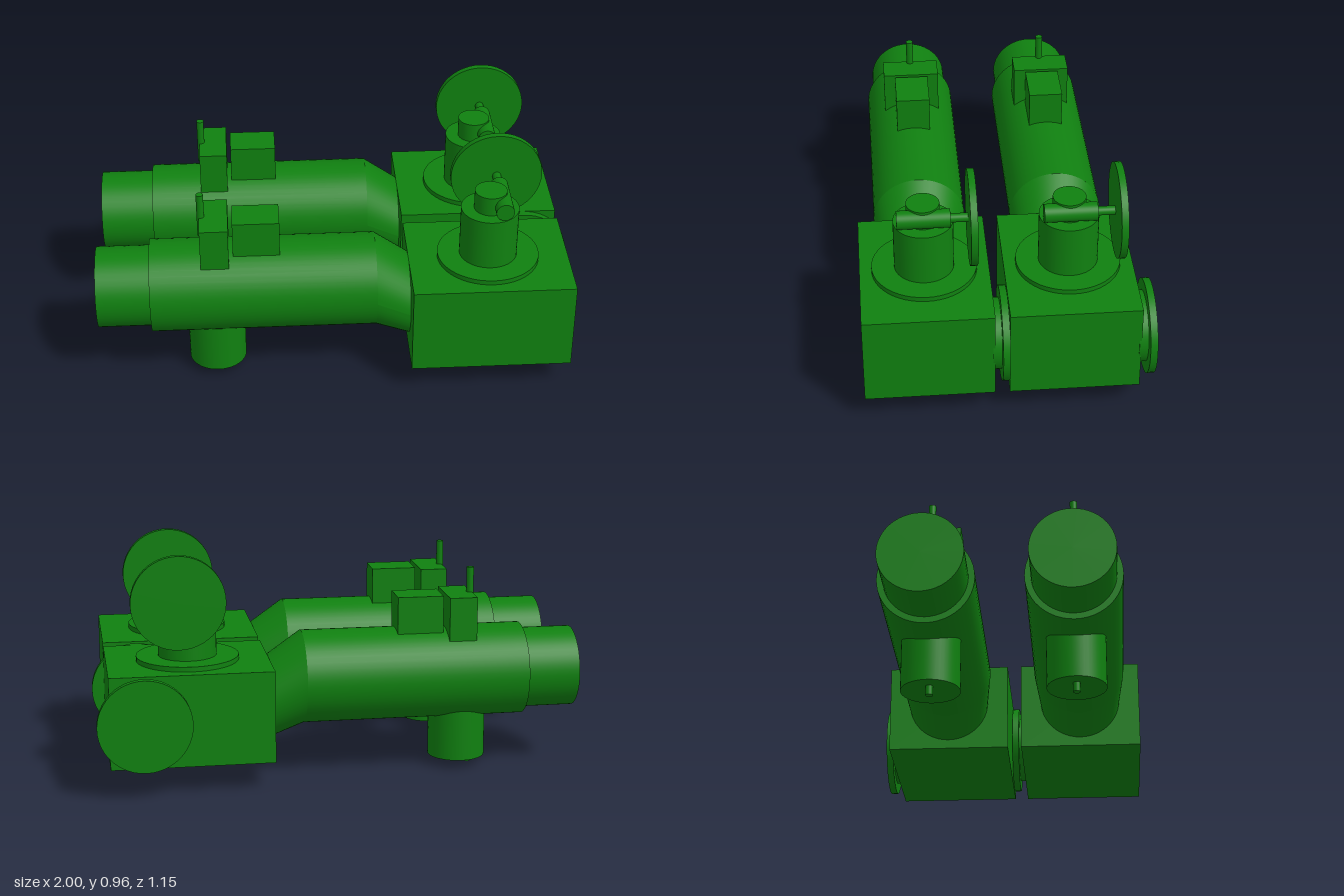
import * as THREE from 'three';

const green = new THREE.MeshStandardMaterial({ color: 0x108010 });

function add(group, name, geometry, x, y, z = 0) {
  const mesh = new THREE.Mesh(geometry, green);
  mesh.name = name;
  mesh.position.set(x, y, z);
  group.add(mesh);
  return mesh;
}

// Cylinders along each axis, given by their start and end on that axis
function cylX(group, name, r, x0, x1, y) {
  const g = new THREE.CylinderGeometry(r, r, x1 - x0, 48).rotateZ(-Math.PI / 2);
  return add(group, name, g, (x0 + x1) / 2, y);
}
function cylY(group, name, r, x, y0, y1) {
  return add(group, name, new THREE.CylinderGeometry(r, r, y1 - y0, 48), x, (y0 + y1) / 2);
}
function cylZ(group, name, r, x, y, z0, z1) {
  const g = new THREE.CylinderGeometry(r, r, z1 - z0, 48).rotateX(Math.PI / 2);
  return add(group, name, g, x, y, (z0 + z1) / 2);
}
function box(group, name, x0, x1, y0, y1, depth) {
  const g = new THREE.BoxGeometry(x1 - x0, y1 - y0, depth);
  return add(group, name, g, (x0 + x1) / 2, (y0 + y1) / 2);
}

// Oblique reducer: a cone frustum along x whose far end sits lower
function reducerGeometry(r0, r1, length, drop) {
  const g = new THREE.CylinderGeometry(r1, r0, length, 48).rotateZ(-Math.PI / 2);
  const p = g.attributes.position;
  for (let i = 0; i < p.count; i++) {
    p.setY(i, p.getY(i) - drop * (p.getX(i) / length + 0.5));
  }
  g.computeVertexNormals();
  return g;
}

function createUnit() {
  const unit = new THREE.Group();

  // Horizontal barrel and gearbox housing
  cylX(unit, 'endPipe', 0.167, -1, -0.78, 0.402);
  cylX(unit, 'mainPipe', 0.192, -0.78, 0.145, 0.402);
  add(unit, 'reducer', reducerGeometry(0.192, 0.171, 0.14, 0.077), 0.215, 0.402);
  box(unit, 'housing', 0.285, 0.948, 0.115, 0.495, 0.517);

  // Outlet on the back of the housing
  cylZ(unit, 'outletNeck', 0.143, 0.81, 0.305, -0.29, -0.25);
  cylZ(unit, 'outletFlange', 0.19, 0.81, 0.305, -0.315, -0.286);

  // Valve on top of the housing
  cylY(unit, 'valveFlange', 0.21, 0.615, 0.495, 0.515);
  cylY(unit, 'valveBody', 0.119, 0.615, 0.515, 0.735);
  cylY(unit, 'valveStem', 0.066, 0.615, 0.735, 0.817);
  cylZ(unit, 'valveGear', 0.037, 0.662, 0.773, -0.105, 0.105);
  cylZ(unit, 'handwheelShaft', 0.018, 0.662, 0.773, -0.18, -0.105);
  cylZ(unit, 'handwheel', 0.19, 0.662, 0.773, -0.202, -0.174);

  // Control boxes on the barrel
  box(unit, 'controlBox', -0.57, -0.455, 0.55, 0.735, 0.237);
  box(unit, 'terminalBox', -0.438, -0.247, 0.575, 0.735, 0.142);
  cylY(unit, 'antenna', 0.015, -0.564, 0.645, 0.84);

  // Inlet below the barrel
  cylY(unit, 'inletPipe', 0.119, -0.515, 0.038, 0.35);
  cylY(unit, 'drainPin', 0.015, -0.564, 0, 0.06);
  return unit;
}

export function createModel() {
  const model = new THREE.Group();
  model.name = 'twinPipeUnits';
  // Two identical units side by side
  [['frontUnit', 0.315], ['backUnit', -0.26]].forEach(([name, z]) => {
    const unit = createUnit();
    unit.name = name;
    unit.position.z = z;
    model.add(unit);
  });
  return model;
}
